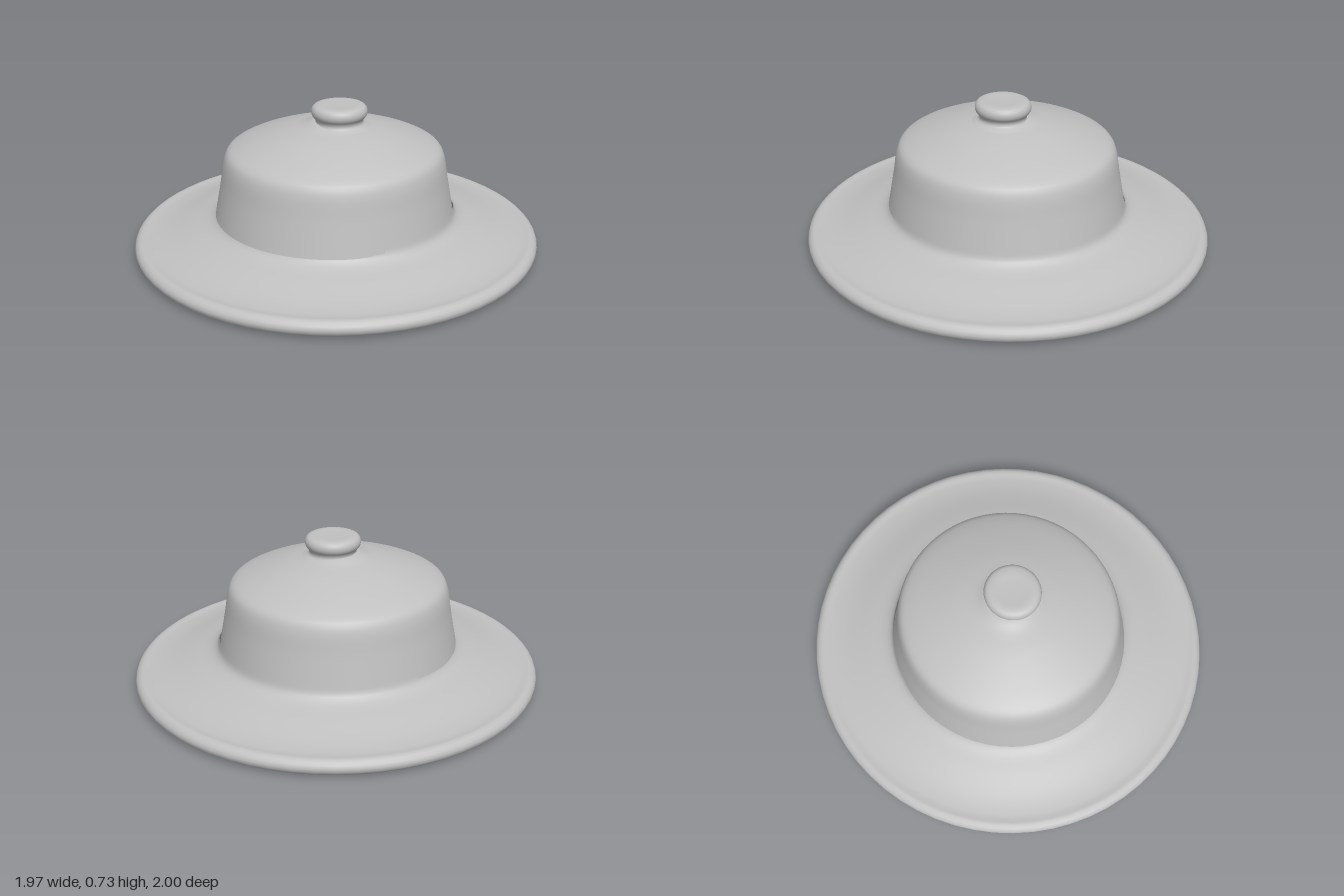
import * as THREE from 'three';

const SEGMENTS = 64;

export function createModel() {
  const hat = new THREE.Group();
  hat.name = 'sunHelmet';
  const grey = new THREE.MeshStandardMaterial({ color: 0xc0c0c0 });
  grey.name = 'light grey';

  // Revolves a smoothed [radius, height] profile around the vertical axis
  function revolve(name, profile, samples, x = 0, z = 0, scaleX = 1) {
    const curve = new THREE.CatmullRomCurve3(
      profile.map(([r, y]) => new THREE.Vector3(r, y, 0)), false, 'centripetal');
    const points = curve.getSpacedPoints(samples)
      .map((p) => new THREE.Vector2(Math.max(p.x, 0), p.y));
    const mesh = new THREE.Mesh(new THREE.LatheGeometry(points, SEGMENTS), grey);
    mesh.name = name;
    mesh.position.set(x, 0, z);
    mesh.scale.x = scaleX;
    hat.add(mesh);
    return mesh;
  }

  // Brim: underside, rolled rim, then the sloping top up to the crown
  revolve('brim', [
    [0.55, 0.1], [0.7, 0.06], [0.84, 0.025], [0.92, 0.006], [0.965, 0.014],
    [0.995, 0.04], [0.996, 0.066], [0.97, 0.09], [0.93, 0.088],
    [0.85, 0.098], [0.72, 0.134], [0.62, 0.165], [0.59, 0.19], [0.58, 0.23],
  ], 60, 0, 0, 0.988);

  // Crown: tapered wall, round shoulder and shallow cone
  revolve('crown', [
    [0.591, 0.19], [0.58, 0.25], [0.56, 0.36], [0.541, 0.47], [0.524, 0.508],
    [0.48, 0.535], [0.38, 0.574], [0.26, 0.611], [0.15, 0.636], [0.1, 0.655], [0, 0.66],
  ], 48, -0.003, 0.01, 0.98);

  // Lining: hollow inside, from the ceiling down to the opening
  revolve('lining', [
    [0, 0.6], [0.15, 0.593], [0.3, 0.556], [0.43, 0.506], [0.485, 0.46],
    [0.51, 0.36], [0.53, 0.24], [0.545, 0.14], [0.553, 0.099],
  ], 40, 0, 0, 0.988);

  // Knob: narrow neck with a rounded button on top
  revolve('knob', [
    [0.15, 0.632], [0.117, 0.65], [0.118, 0.668], [0.133, 0.688], [0.136, 0.71],
    [0.125, 0.73], [0.1, 0.737], [0.05, 0.736], [0, 0.735],
  ], 30, 0.025, 0.005, 0.98);

  return hat;
}
